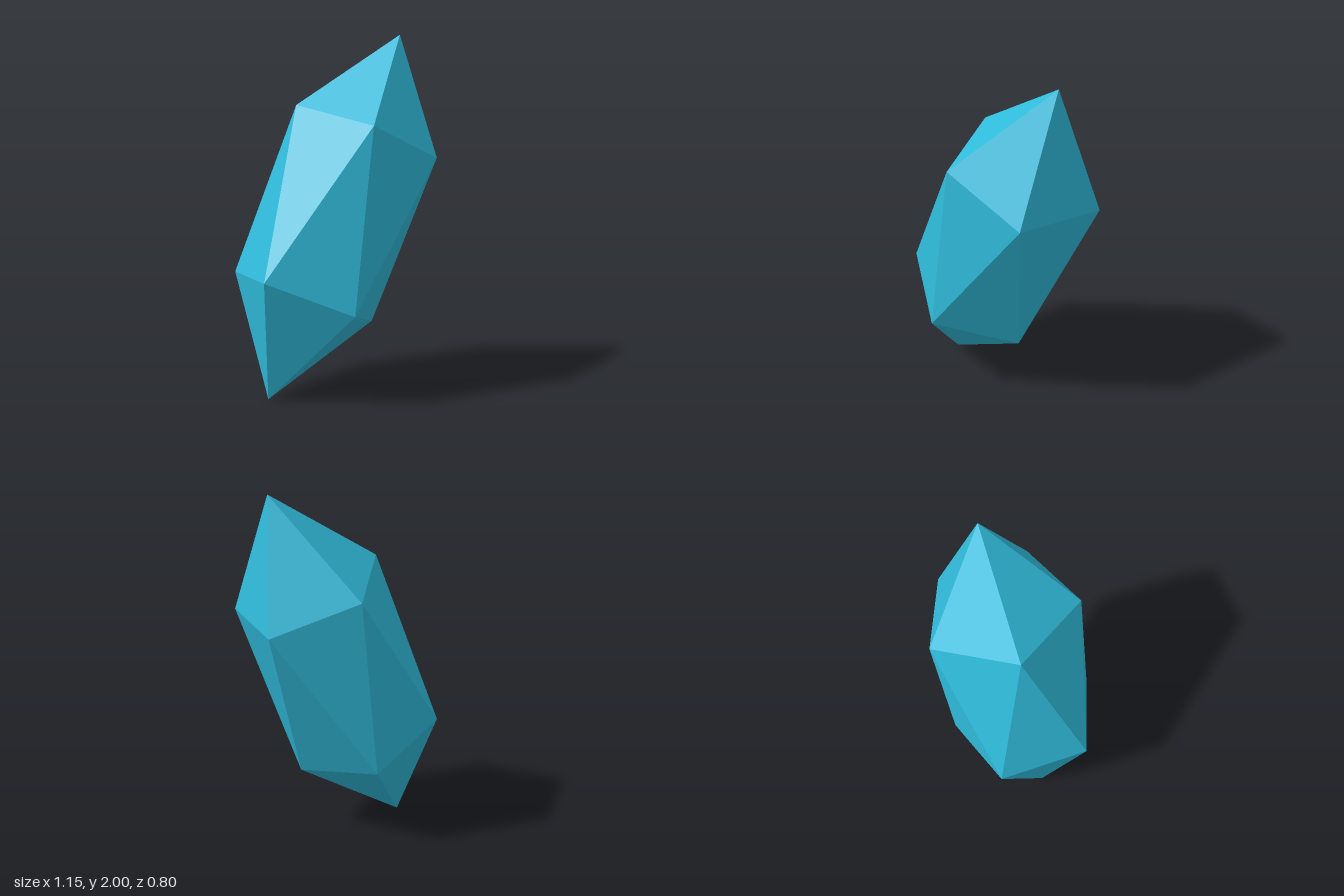
import * as THREE from 'three';

// A leaning, stretched twenty-sided crystal, point-symmetric about its centre.
export function createModel() {
  const group = new THREE.Group();
  group.name = 'crystal';
  const crystalBlue = new THREE.MeshStandardMaterial({ color: 0x30bcdc });
  crystalBlue.name = 'crystalBlue';
  crystalBlue.flatShading = true;

  // Upper half, relative to the centre: tip and ring of five corners
  const tip = [0.41, 1, 0.097];
  const upper = [
    [-0.19, 0.617, -0.105],
    [-0.076, 0.522, 0.386],
    [0.396, 0.325, 0.402],
    [0.573, 0.298, -0.077],
    [0.211, 0.48, -0.39],
  ];
  // Lower half is the upper half mirrored through the centre
  const opposite = (p) => p.map((v) => -v);
  const base = opposite(tip);
  const lower = upper.map((_, i) => opposite(upper[(i + 3) % 5]));

  // Cap, zigzag belt and bottom cap, one sector at a time
  const positions = [];
  const face = (...corners) => corners.forEach((c) => positions.push(...c));
  for (let i = 0; i < 5; i++) {
    const j = (i + 1) % 5;
    face(tip, upper[i], upper[j]);
    face(upper[i], lower[i], upper[j]);
    face(upper[j], lower[i], lower[j]);
    face(base, lower[j], lower[i]);
  }

  const geometry = new THREE.BufferGeometry();
  geometry.setAttribute('position', new THREE.Float32BufferAttribute(positions, 3));
  geometry.translate(0, 1, 0);
  geometry.computeVertexNormals();

  const body = new THREE.Mesh(geometry, crystalBlue);
  body.name = 'crystalBody';
  group.add(body);
  return group;
}
